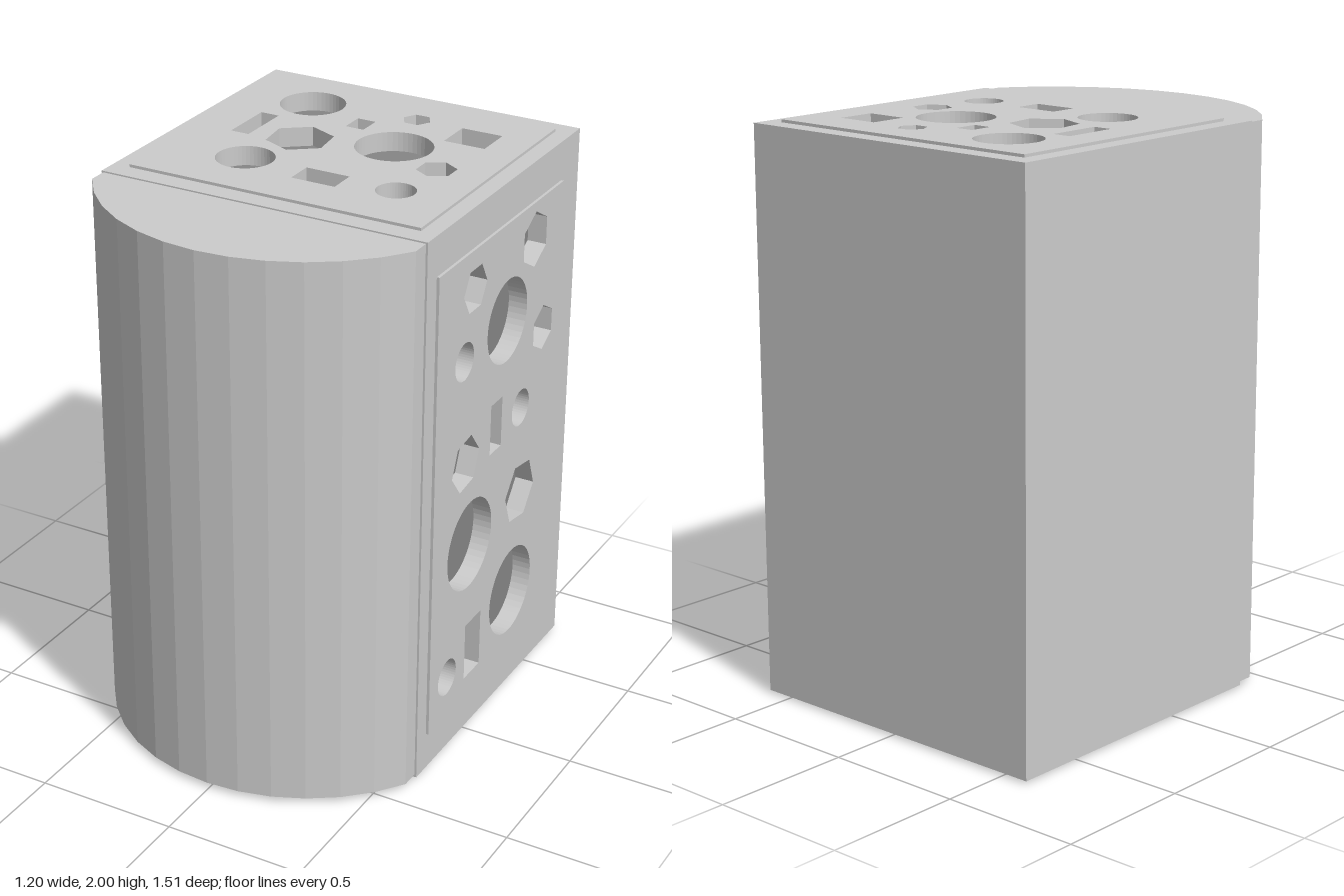
import * as THREE from 'three';

const grey = new THREE.MeshStandardMaterial({ color: 0xcccccc, flatShading: true });
const dark = new THREE.MeshStandardMaterial({ color: 0x868686, flatShading: true });

// Body extents, pocket depth and raised panel thickness
const X0 = -0.603, X1 = 0.59, Y0 = 0.01, Y1 = 1.99, Z0 = -0.757, Z1 = 0.36;
const DEPTH = 0.06, RAISE = 0.01;

// Pocket outlines in the plane of a face
function polygon(u, v, r, sides, degrees = 0) {
  const points = [];
  for (let i = 0; i < sides; i++) {
    const a = THREE.MathUtils.degToRad(degrees) + (i / sides) * Math.PI * 2;
    points.push(new THREE.Vector2(u + r * Math.cos(a), v + r * Math.sin(a)));
  }
  return points;
}
const circle = (u, v, r) => polygon(u, v, r, 48);
const hex = (u, v, r, degrees = 0) => polygon(u, v, r, 6, degrees);
const span = (u0, u1, v0, v1) => [[u0, v0], [u1, v0], [u1, v1], [u0, v1]].map(p => new THREE.Vector2(...p));
const rect = (u, v, w, h) => span(u - w / 2, u + w / 2, v - h / 2, v + h / 2);

function slab(name, outline, holes, depth, z) {
  const shape = new THREE.Shape(outline);
  shape.holes = holes.map(h => new THREE.Path(h));
  const geometry = new THREE.ExtrudeGeometry(shape, { depth, bevelEnabled: false });
  const mesh = new THREE.Mesh(geometry, grey);
  mesh.name = name;
  mesh.position.z = z;
  return mesh;
}

// A pierced wall with a raised panel and pocket floors; local z = 0 is the wall's outer face
function piercedFace(name, wall, panel, holes) {
  const group = new THREE.Group();
  group.name = name;
  group.add(slab(name + 'Wall', wall, holes, DEPTH, -DEPTH));
  group.add(slab(name + 'RaisedPanel', panel, holes, RAISE, 0));
  const floors = new THREE.Mesh(new THREE.ShapeGeometry(holes.map(h => new THREE.Shape(h))), dark);
  floors.name = name + 'PocketFloors';
  floors.position.z = -DEPTH + 0.002;
  group.add(floors);
  return group;
}

export function createModel() {
  const model = new THREE.Group();
  model.name = 'piercedBlock';

  // Solid core behind the pierced walls
  const coreX1 = X1 - DEPTH, coreY0 = Y0 + DEPTH, coreY1 = Y1 - DEPTH;
  const core = new THREE.Mesh(new THREE.BoxGeometry(coreX1 - X0, coreY1 - coreY0, Z1 - Z0), grey);
  core.name = 'core';
  core.position.set((X0 + coreX1) / 2, (coreY0 + coreY1) / 2, (Z0 + Z1) / 2);
  model.add(core);

  // Bowed front: twelve flat strips on an arc
  const R = 0.698, half = 0.59, cx = -0.007, sweep = Math.asin(half / R);
  const bow = [new THREE.Vector2(cx + half, -Z1 + 0.01)];
  for (let i = 0; i <= 12; i++) {
    const a = sweep * (1 - i / 6);
    bow.push(new THREE.Vector2(cx + R * Math.sin(a), -(0.052 + R * Math.cos(a))));
  }
  bow.push(new THREE.Vector2(cx - half, -Z1 + 0.01));
  const front = slab('bowedFront', bow, [], 1.965, 0);
  front.rotation.x = -Math.PI / 2;
  front.position.y = 0.02;
  model.add(front);

  // Left side: u = -z, v = y
  const side = piercedFace('side', span(-Z1, -Z0, Y0, Y1), span(-0.295, 0.62, 0.15, 1.85), [
    hex(-0.035, 1.71, 0.083), hex(0.41, 1.715, 0.1, 30), hex(0.5, 1.355, 0.083, 30),
    hex(-0.07, 1.09, 0.1, 8), hex(0.365, 0.78, 0.115, 51),
    circle(-0.1, 1.477, 0.067), circle(0.215, 1.495, 0.15), circle(0.345, 1.115, 0.067),
    circle(-0.02, 0.76, 0.165), circle(0.32, 0.4, 0.165), circle(-0.165, 0.308, 0.067),
    rect(0.155, 1.13, 0.085, 0.185), rect(0.025, 0.335, 0.117, 0.215),
  ]);
  side.rotation.y = Math.PI / 2;
  side.position.x = X1;
  model.add(side);

  // Top: u = x, v = -z
  const top = piercedFace('top', span(X0, coreX1, -Z1, -Z0), span(-0.54, 0.53, -0.29, 0.69), [
    hex(0.085, 0.532, 0.05), hex(-0.175, 0.187, 0.115, 37), hex(0.35, 0.164, 0.068, 30),
    circle(-0.3, 0.495, 0.115), circle(0.135, 0.275, 0.133),
    circle(-0.245, -0.05, 0.1), circle(0.32, -0.06, 0.067),
    rect(0.33, 0.47, 0.15, 0.135), rect(-0.062, 0.403, 0.068, 0.085),
    rect(-0.378, 0.235, 0.068, 0.2), rect(0.055, -0.08, 0.16, 0.1),
  ]);
  top.rotation.x = -Math.PI / 2;
  top.position.y = Y1;
  model.add(top);

  // Bottom: u = x, v = z
  const bottom = piercedFace('bottom', span(X0, coreX1, Z0, Z1), span(-0.46, 0.45, -0.62, 0.3), [
    hex(0.174, -0.45, 0.14, 10), hex(0.23, -0.157, 0.1, 10), hex(-0.213, -0.043, 0.085),
    circle(-0.285, -0.44, 0.16), circle(0.057, -0.097, 0.05),
    circle(0.31, 0.213, 0.067), circle(-0.106, 0.143, 0.08),
    rect(-0.043, -0.257, 0.14, 0.14), rect(0.141, 0.07, 0.2, 0.12), rect(-0.31, 0.14, 0.1, 0.1),
  ]);
  bottom.rotation.x = Math.PI / 2;
  bottom.position.y = Y0;
  model.add(bottom);

  return model;
}
